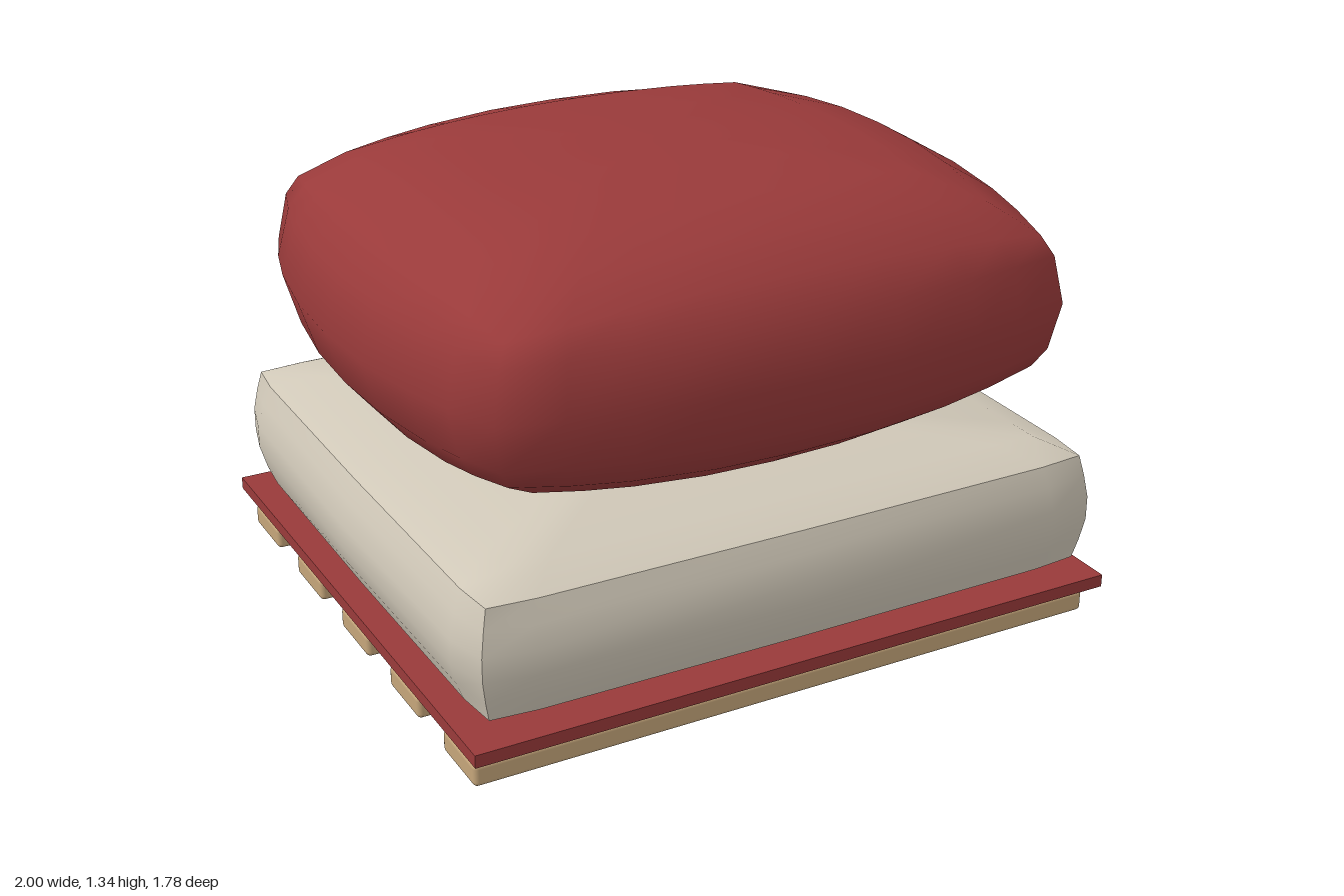
import * as THREE from 'three';
import { toCreasedNormals } from 'three/addons/utils/BufferGeometryUtils.js';
import { RoundedBoxGeometry } from 'three/addons/geometries/RoundedBoxGeometry.js';

// Stacks square rings with bowed sides, bottom to top, and closes both ends.
// Ring: [size, height, corner pull-in, corner droop], all relative to the half sizes.
function puffySlab(rings, steps, power, [hx, hy, hz]) {
  const pos = [], index = [], n = steps.length * 4;
  for (const [size, y, corner, droop] of rings) {
    for (let side = 0; side < 4; side++) {
      for (const t of steps) {
        let a = size * corner * t;
        let b = size * (1 - (1 - corner) * Math.abs(t) ** power);
        for (let r = 0; r < side; r++) [a, b] = [b, -a];
        pos.push(a * hx, y * (1 - droop * Math.abs(t) ** power) * hy, b * hz);
      }
    }
  }
  const last = rings.length - 1;
  const bottom = pos.length / 3, top = bottom + 1;
  pos.push(0, -hy, 0, 0, hy, 0);
  for (let i = 0; i < n; i++) {
    const k = (i + 1) % n;
    for (let j = 0; j < last; j++) {
      const a = j * n + i, b = j * n + k;
      index.push(a, b, b + n, a, b + n, a + n);
    }
    index.push(bottom, k, i, top, last * n + i, last * n + k);
  }
  const geo = new THREE.BufferGeometry();
  geo.setAttribute('position', new THREE.Float32BufferAttribute(pos, 3));
  geo.setIndex(index);
  geo.computeVertexNormals();
  return geo;
}

// Mirrors the upper rings below the middle
const mirrorRings = (upper) => [
  ...upper.filter((r) => r[1] > 0).reverse().map(([s, y, k, d]) => [s, -y, k, d]),
  ...upper,
];

export function createModel() {
  const model = new THREE.Group();
  const material = (name, color) => {
    const m = new THREE.MeshStandardMaterial({ color });
    m.name = name;
    return m;
  };
  const red = material('red fabric', 0x993a3a);
  const cream = material('cream fabric', 0xd0c8b8);
  const wood = material('pale wood', 0xc4a57a);

  const add = (name, geo, mat, x, y, z) => {
    const mesh = new THREE.Mesh(geo, mat);
    mesh.name = name;
    mesh.position.set(x, y, z);
    model.add(mesh);
  };

  // Five loose slats under the base
  const slat = new RoundedBoxGeometry(1.915, 0.066, 0.202, 2, 0.014);
  [0.735, 0.372, 0.01, -0.352, -0.718].forEach((z, i) =>
    add('slat' + (i + 1), slat, wood, -0.012, 0.034, z));

  // Thin base sheet
  add('baseSheet', new THREE.BoxGeometry(1.955, 0.037, 1.767), red, -0.012, 0.119, 0.008);

  // Mattress with soft edges and creased corners
  const mattressRings = mirrorRings([
    [0.978, 0.5, 0.965, 0],
    [0.95, 0.78, 0.98, 0],
    [0.83, 1, 1, 0],
  ].reduce((list, r) => [...list, r], [[1, 0.17, 0.955, 0]]));
  const mattress = puffySlab(mattressRings, [-1, -0.85, 0, 0.85], 8, [0.977, 0.205, 0.884]);
  add('mattress', toCreasedNormals(mattress, 0.6), cream, -0.012, 0.345, 0.008);

  // Large puffed cushion with drooping corners
  const cushionRings = mirrorRings([
    [1, 0, 0.855, 0],
    [0.95, 0.39, 0.875, 0.12],
    [0.87, 0.63, 0.92, 0.23],
    [0.74, 0.82, 0.93, 0.15],
    [0.56, 0.935, 0.95, 0.05],
    [0.28, 0.975, 1, 0],
  ]);
  const cushionSteps = [-1, -0.8, -0.6, -0.3, 0, 0.3, 0.6, 0.8];
  add('cushion', puffySlab(cushionRings, cushionSteps, 2.2, [0.998, 0.398, 0.892]), red, 0, 0.947, 0);

  return model;
}
